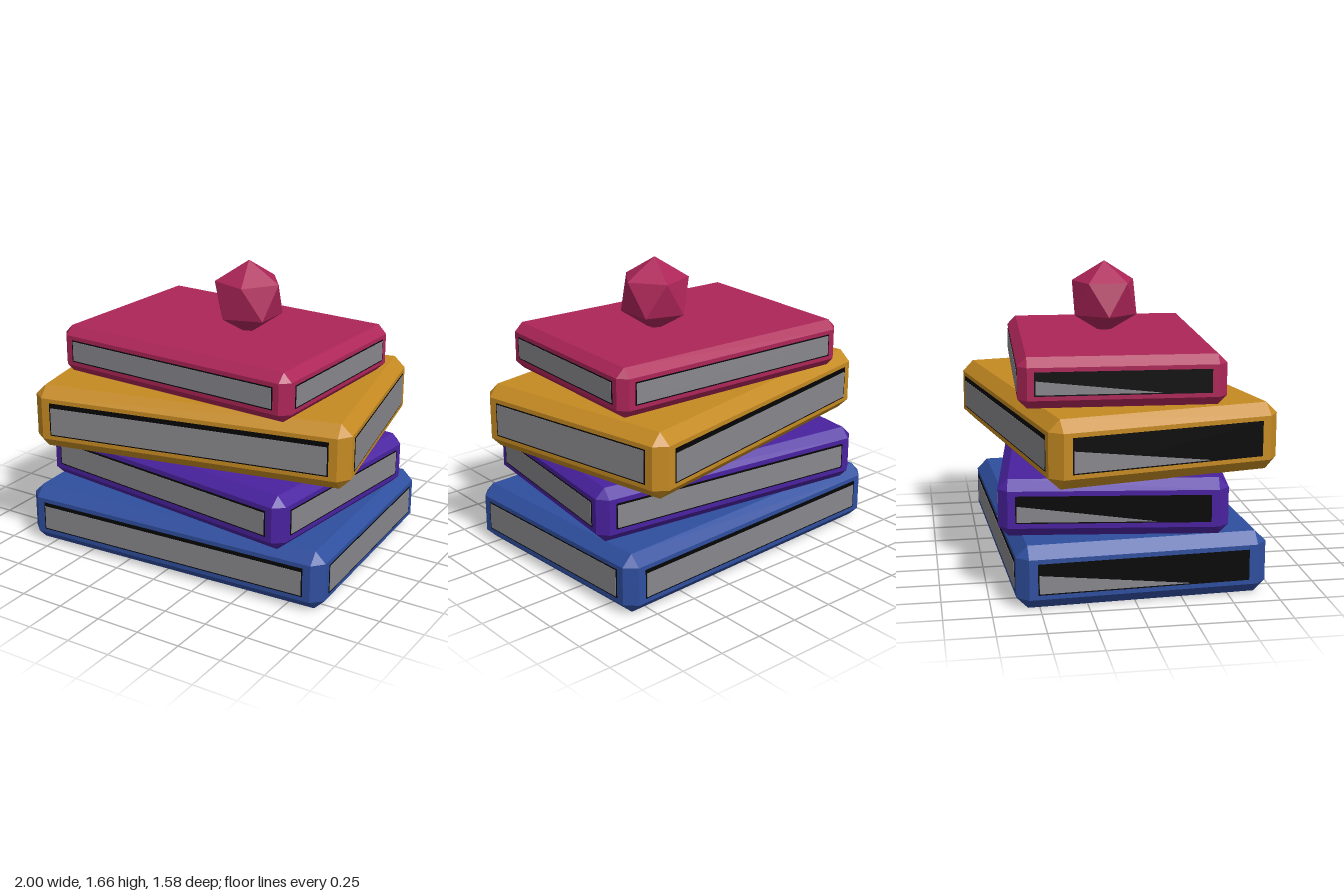
import * as THREE from 'three';
import { ConvexGeometry } from 'three/addons/geometries/ConvexGeometry.js';

const mat = (name, color, flat = false) => {
  const m = new THREE.MeshStandardMaterial({ color });
  m.name = name;
  m.flatShading = flat;
  return m;
};

// Box with every edge cut by a single bevel; a, h, b are half sizes, c is the bevel
function bevelledBox(a, h, b, c) {
  const points = [];
  for (const x of [-1, 1]) for (const y of [-1, 1]) for (const z of [-1, 1]) {
    points.push(
      new THREE.Vector3(x * a, y * (h - c), z * (b - c)),
      new THREE.Vector3(x * (a - c), y * h, z * (b - c)),
      new THREE.Vector3(x * (a - c), y * (h - c), z * b));
  }
  return new ConvexGeometry(points);
}

export function createModel() {
  const model = new THREE.Group();
  model.name = 'bookStack';

  const blue = mat('blue cover', 0x2f4f9f, true);
  const purple = mat('purple cover', 0x4a22a0, true);
  const gold = mat('gold cover', 0xc58a22, true);
  const crimson = mat('crimson', 0xad2558, true);
  const paper = mat('grey pages', 0x88878c);
  const black = mat('black recess', 0x050505);

  const add = (parent, name, geometry, material) => {
    const mesh = new THREE.Mesh(geometry, material);
    mesh.name = name;
    parent.add(mesh);
    return mesh;
  };

  // Half sizes a (x) and b (z), bottom and top heights, turn, bevel, panel half height, black strip
  const books = [
    { name: 'blueBook', cover: blue, a: 0.93, b: 0.665, y0: 0, y1: 0.335, turn: 0.05, c: 0.06, ph: 0.083, strip: 0.015 },
    { name: 'purpleBook', cover: purple, a: 0.842, b: 0.6, y0: 0.333, y1: 0.638, turn: -0.125, c: 0.053, ph: 0.073, strip: 0.004 },
    { name: 'goldBook', cover: gold, a: 0.905, b: 0.635, y0: 0.636, y1: 0.998, turn: 0.2, c: 0.062, ph: 0.095, strip: 0.02 },
    { name: 'crimsonBook', cover: crimson, a: 0.75, b: 0.545, y0: 0.998, y1: 1.266, turn: -0.05, c: 0.048, ph: 0.063, strip: 0 },
  ];

  for (const { name, cover, a, b, y0, y1, turn, c, ph, strip } of books) {
    const book = new THREE.Group();
    book.name = name;
    book.position.y = (y0 + y1) / 2;
    book.rotation.y = turn;
    model.add(book);
    const h = (y1 - y0) / 2;
    add(book, 'cover', bevelledBox(a, h, b, c), cover);

    // One page panel on each side: a black plate with a grey plate just proud of it
    for (let i = 0; i < 4; i++) {
      const side = new THREE.Group();
      side.name = ['frontPages', 'leftPages', 'backPages', 'rightPages'][i];
      side.rotation.y = i * Math.PI / 2;
      book.add(side);
      const depth = i % 2 ? a : b;
      const w = (i % 2 ? b : a) - c * 1.75;
      add(side, 'recess', new THREE.BoxGeometry(2 * w, 2 * ph, 0.004), black).position.z = depth;
      const gw = w - 0.007, gh = ph - 0.007;
      if (i < 3) {
        const s = i === 1 ? 0 : strip;
        const pages = add(side, 'pages', new THREE.BoxGeometry(2 * gw, 2 * gh - s, 0.006), paper);
        pages.position.set(0, -s / 2, depth + 0.001);
      } else {
        // On this side only a wedge of the pages shows
        const wedge = new THREE.Shape([
          new THREE.Vector2(-gw, -gh),
          new THREE.Vector2(gw * 0.45, -gh),
          new THREE.Vector2(-gw, gh * 0.3),
        ]);
        const geometry = new THREE.ExtrudeGeometry(wedge, { depth: 0.004, bevelEnabled: false });
        add(side, 'pages', geometry, paper).position.z = depth;
      }
    }
  }

  // Gem standing on one point on the top book
  const gem = new THREE.IcosahedronGeometry(0.21, 0);
  gem.rotateZ(-Math.atan(2 / (1 + Math.sqrt(5))));
  add(model, 'gem', gem, crimson).position.set(0.15, 1.45, 0);

  return model;
}
